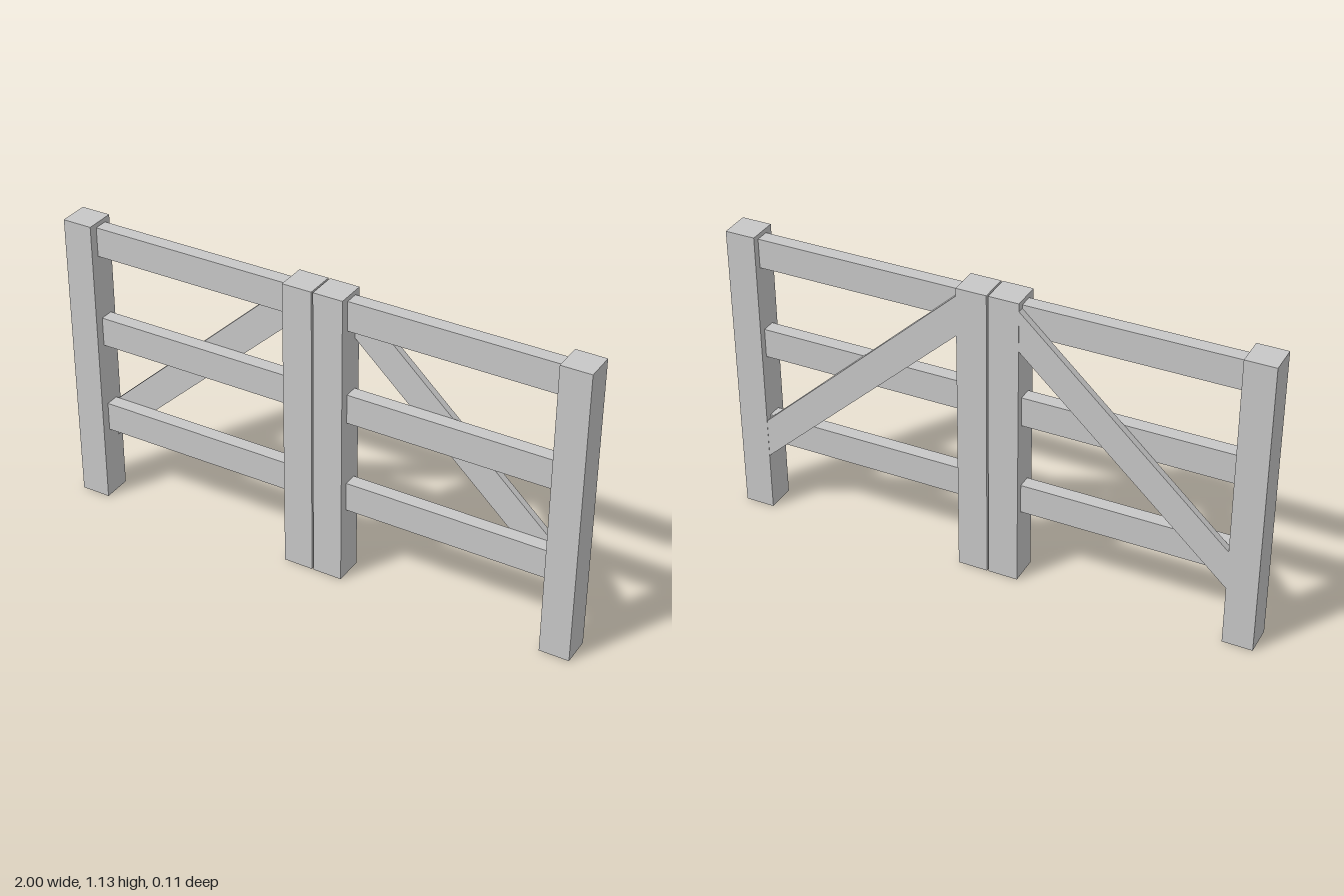
import * as THREE from 'three';

const POST = 0.112, HEIGHT = 1.13, INNER = 0.115, OUTER = 0.888;

export function createModel() {
  const model = new THREE.Group();
  model.name = 'doubleGate';
  const wood = new THREE.MeshStandardMaterial({ color: 0xc8c8c8 });
  wood.name = 'plain grey';

  const add = (parent, name, geometry, x = 0, y = 0, z = 0) => {
    const mesh = new THREE.Mesh(geometry, wood);
    mesh.name = name;
    mesh.position.set(x, y, z);
    parent.add(mesh);
  };

  for (const side of [1, -1]) {
    const leaf = new THREE.Group();
    leaf.name = side > 0 ? 'leftLeaf' : 'rightLeaf';
    model.add(leaf);

    // square posts at the meeting and hinge ends
    const post = new THREE.BoxGeometry(POST, HEIGHT, POST);
    add(leaf, 'meetingPost', post, side * (INNER - POST / 2), HEIGHT / 2);
    add(leaf, 'hingePost', post, side * (OUTER + POST / 2), HEIGHT / 2);

    // three horizontal rails
    const rail = new THREE.BoxGeometry(OUTER - INNER, POST, 0.052);
    for (const [name, y] of [['bottomRail', 0.336], ['middleRail', 0.696], ['topRail', 1.057]]) {
      add(leaf, name, rail, side * (INNER + OUTER) / 2, y, -0.004);
    }

    // diagonal brace behind the rails, cut flush with the posts
    const brace = new THREE.Shape([
      [INNER, 0.947], [OUTER, 0.228], [OUTER, 0.38], [INNER, 1.1],
    ].map(([x, y]) => new THREE.Vector2(side * x, y)));
    add(leaf, 'diagonalBrace',
      new THREE.ExtrudeGeometry(brace, { depth: 0.025, bevelEnabled: false }), 0, 0, -0.055);
  }
  return model;
}
